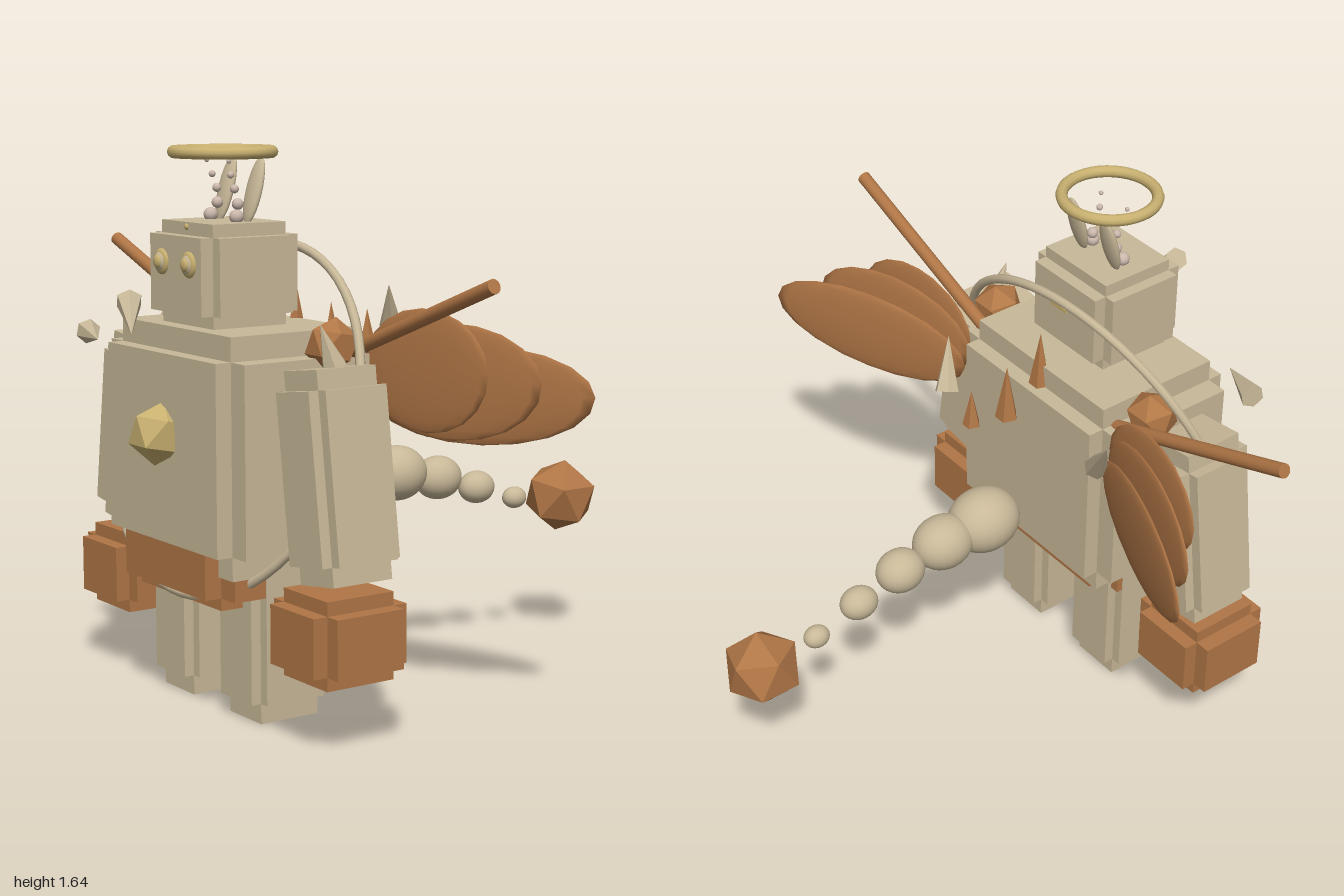
import * as THREE from 'three';

const paint = (name, color, extra = {}) =>
  Object.assign(new THREE.MeshStandardMaterial({ color, ...extra }), { name });

export function createModel() {
  const root = new THREE.Group();
  root.name = 'guardian';
  const stone = paint('stone', 0xc8b898);
  const clay = paint('clay', 0xb07646);
  const gold = paint('gold', 0xc8b070);
  const pearl = paint('pearl', 0xcbb8ac);
  // faceted variants of the same colours, for gems, spikes and shards
  const stoneFlat = paint('stoneFaceted', 0xc8b898, { flatShading: true });
  const clayFlat = paint('clayFaceted', 0xb07646, { flatShading: true });
  const goldFlat = paint('goldFaceted', 0xc8b070, { flatShading: true });
  const V = (x, y, z) => new THREE.Vector3(x, y, z);
  const UP = V(0, 1, 0);

  const add = (name, geo, mat, x, y, z) => {
    const m = new THREE.Mesh(geo, mat);
    m.name = name;
    m.position.set(x, y, z);
    root.add(m);
    return m;
  };

  // Block with stepped edges: three overlapping boxes, each full size on one axis
  const block = (name, mat, [x, y, z], [w, h, d], [ix, iy, iz]) => {
    const g = new THREE.Group();
    g.name = name;
    g.position.set(x, y, z);
    const a = w - 2 * ix, b = h - 2 * iy, c = d - 2 * iz;
    for (const s of [[w, b, c], [a, h, c], [a, b, d]]) {
      const m = new THREE.Mesh(new THREE.BoxGeometry(...s), mat);
      m.name = name + 'Slab';
      g.add(m);
    }
    root.add(g);
    return g;
  };

  const ellipsoid = (name, mat, [x, y, z], [rx, ry, rz], seg = 18) => {
    const m = add(name, new THREE.SphereGeometry(1, seg, Math.round(seg * 0.7)), mat, x, y, z);
    m.scale.set(rx, ry, rz);
    return m;
  };

  // Cone or rod running between two points
  const rod = (name, mat, from, to, r0, r1, sides) => {
    const a = V(...from), b = V(...to);
    const dir = b.clone().sub(a);
    const mid = a.clone().add(b).multiplyScalar(0.5);
    const geo = new THREE.CylinderGeometry(r1, r0, dir.length(), sides);
    const m = add(name, geo, mat, mid.x, mid.y, mid.z);
    m.quaternion.setFromUnitVectors(UP, dir.normalize());
    return m;
  };

  // Icosahedron turned so that one face looks along "out", with a corner toward "tip"
  const gem = (name, mat, [x, y, z], r, out, tip) => {
    const m = add(name, new THREE.IcosahedronGeometry(r, 0), mat, x, y, z);
    const f = V(1, 1, 1).normalize();
    const c = V(1, (1 + Math.sqrt(5)) / 2, 0);
    c.addScaledVector(f, -c.dot(f)).normalize();
    const local = new THREE.Matrix4().makeBasis(f.clone().cross(c), c, f);
    const world = new THREE.Matrix4().makeBasis(tip.clone().cross(out), tip, out);
    // columns are (tip x out, tip, out); keep the same handedness locally
    local.makeBasis(c.clone().cross(f), c, f);
    m.quaternion.setFromRotationMatrix(world.multiply(local.transpose()));
    return m;
  };

  // Body and head
  block('torso', stone, [0, 0.785, 0.44], [0.74, 0.69, 0.52], [0.07, 0.07, 0.05]);
  block('hips', clay, [0, 0.495, 0.482], [0.595, 0.31, 0.425], [0.073, 0.037, 0.053]);
  block('head', stone, [0, 1.28, 0.4825], [0.352, 0.296, 0.325], [0.036, 0.037, 0.04]);
  gem('chestGem', goldFlat, [0, 0.827, 0.705], 0.094, V(0, 0, 1), UP);

  for (const s of [1, -1]) {
    const side = s > 0 ? 'left' : 'right';
    // Limbs
    block(side + 'Leg', stone, [s * 0.185, 0.25, 0.44], [0.23, 0.5, 0.26], [0.032, 0.06, 0.032]);
    const arm = block(side + 'Arm', stone, [s * 0.515, 0.755, 0.44], [0.23, 0.593, 0.26], [0.035, 0.056, 0.032]);
    arm.rotation.z = s * 0.135;
    block(side + 'Fist', clay, [s * 0.54, 0.315, 0.457], [0.31, 0.25, 0.312], [0.049, 0.04, 0.045]);

    // Shoulder gem and pole
    gem(side + 'ShoulderGem', clayFlat, [s * 0.37, 1.095, 0.36], 0.08, V(0, 0, 1), UP);
    rod(side + 'Pole', clay, [s * 0.3, 1.05, 0.28], [s * 0.99, 1.305, 0.28], 0.021, 0.021, 12);

    // Wing feathers: centre, half length, half height, yaw
    const feathers = [
      [[0.57, 1.03, 0.185], 0.235, 0.175, 0.175],
      [[0.62, 1.0, 0.13], 0.295, 0.165, 0.32],
      [[0.665, 0.962, 0.065], 0.355, 0.14, 0.4],
    ];
    for (const [[x, y, z], len, high, yaw] of feathers) {
      const f = ellipsoid(side + 'Feather', clay, [s * x, y, z], [len, high, 0.016], 14);
      f.rotation.set(0, s * yaw, s * 0.06);
    }

    // Eyes, ears and strings of pearls
    ellipsoid(side + 'Eye', gold, [s * 0.075, 1.313, 0.645], [0.038, 0.038, 0.014]);
    ellipsoid(side + 'Iris', stone, [s * 0.075, 1.313, 0.652], [0.027, 0.027, 0.012]);
    ellipsoid(side + 'Pupil', gold, [s * 0.075, 1.313, 0.658], [0.02, 0.02, 0.011]);
    const ear = ellipsoid(side + 'Ear', stone, [s * 0.075, 1.515, 0.425], [0.036, 0.1, 0.016]);
    ear.rotation.x = -0.27;
    const pearls = [
      [0.07, 1.442, 0.482, 0.021], [0.055, 1.477, 0.468, 0.017], [0.048, 1.52, 0.474, 0.013],
      [0.05, 1.56, 0.488, 0.01], [0.06, 1.6, 0.5, 0.007],
    ];
    for (const [x, y, z, r] of pearls)
      ellipsoid(side + 'Pearl', pearl, [s * x, y, z], [r, r, r], 12);
  }

  // Small gold marks on the head
  ellipsoid('browBead', gold, [0, 1.415, 0.603], [0.01, 0.01, 0.01], 10);
  add('napeBar', new THREE.BoxGeometry(0.07, 0.012, 0.008), gold, 0.02, 1.29, 0.318);

  // Halo and tilted hoop
  const halo = add('halo', new THREE.TorusGeometry(0.142, 0.018, 10, 40), gold, 0, 1.625, 0.4825);
  halo.rotation.x = Math.PI / 2;
  const hoop = add('hoop', new THREE.TorusGeometry(0.535, 0.014, 8, 64), stone, 0, 0.853, 0.457);
  hoop.quaternion.setFromUnitVectors(V(0, 0, 1), V(0.087, 0.367, 1).normalize());

  // Beaded tail with a faceted tip
  const tail = [
    [0.632, 0.017, 0.103, 0.12], [0.62, -0.14, 0.086, 0.101], [0.588, -0.302, 0.069, 0.08],
    [0.54, -0.458, 0.052, 0.062], [0.488, -0.615, 0.035, 0.042],
  ];
  for (const [y, z, r, rz] of tail) ellipsoid('tailBead', stone, [0, y, z], [r, r, rz], 24);
  gem('tailTip', clayFlat, [0, 0.473, -0.81], 0.122, V(1, 0, 0), V(0, -1, 0));

  // Spikes behind the back
  for (const [z, y0, y1, r] of [[0.232, 1.05, 1.24, 0.036], [0.105, 0.99, 1.17, 0.036], [-0.028, 1.02, 1.14, 0.028]])
    rod('backSpike', clayFlat, [0, y0, z], [0, y1, z], r, 0, 5);

  // Floating shards, base to tip
  const shards = [
    [[0.085, 1.225, 0.845], [0.21, 1.147, 0.91]],
    [[-0.46, 1.075, 0.68], [-0.3, 1.07, 0.735]],
    [[-0.33, 0.96, 0.185], [-0.47, 1.145, 0.1]],
    [[0.1, 1.09, -0.045], [0.17, 1.23, 0.015]],
    [[0.47, 1.05, 0.42], [0.465, 1.17, 0.465]],
  ];
  for (const [a, b] of shards) rod('shard', stoneFlat, a, b, 0.038, 0, 6);

  return root;
}
